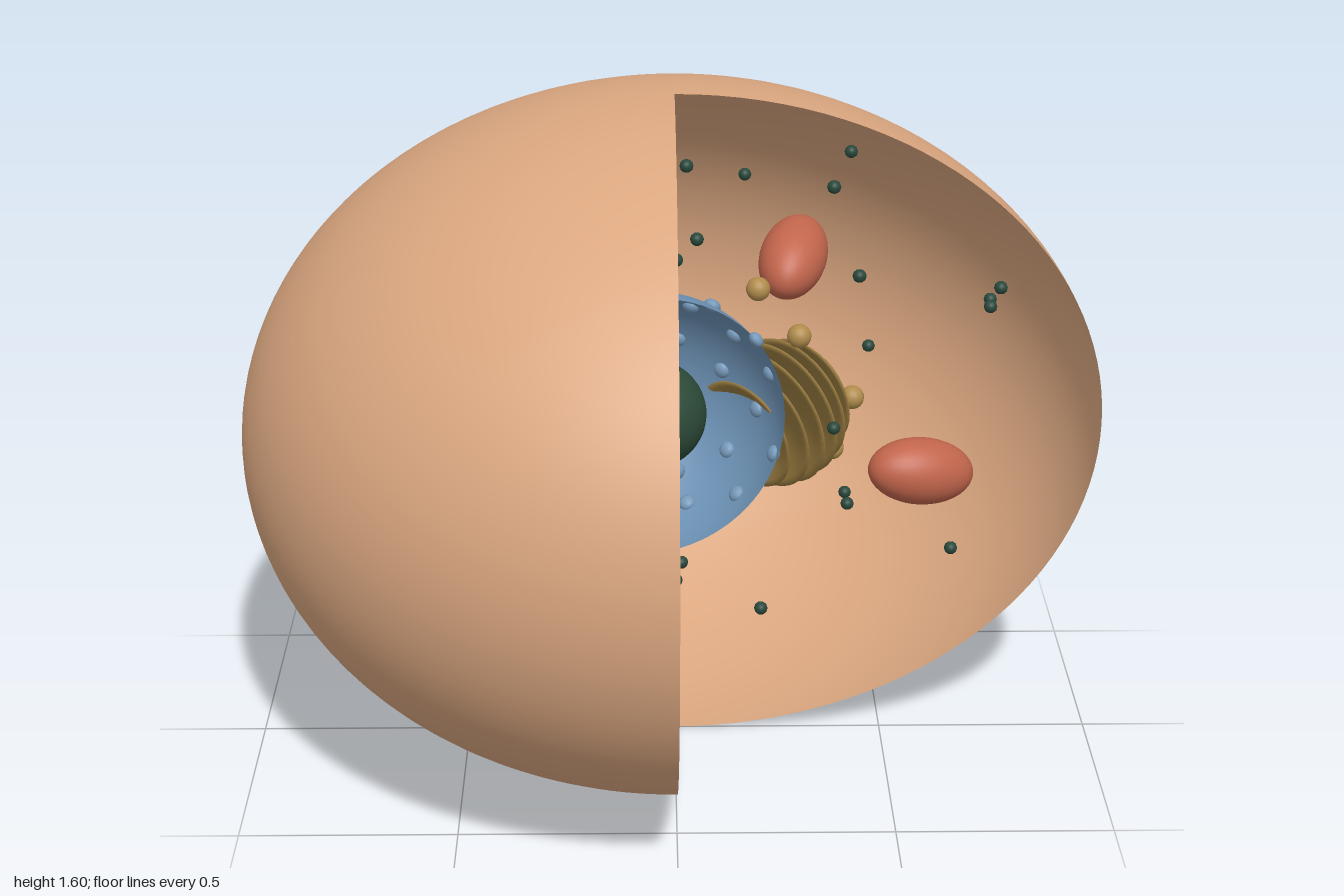
import * as THREE from 'three';
import { ParametricGeometry } from 'three/addons/geometries/ParametricGeometry.js';

const V = (x, y, z) => new THREE.Vector3(x, y, z);
const UP = V(0, 1, 0);

function material(name, color, side = THREE.FrontSide) {
  const m = new THREE.MeshStandardMaterial({ color, side });
  m.name = name;
  return m;
}

function seeded(seed) {
  return () => {
    seed = (seed * 16807) % 2147483647;
    return seed / 2147483647;
  };
}

export function createModel() {
  const root = new THREE.Group();
  root.name = 'cutawayCell';
  const mats = {
    membrane: material('membraneTan', 0xdba780, THREE.DoubleSide),
    nucleus: material('nucleusBlue', 0x6c91b4, THREE.DoubleSide),
    pore: material('poreBlue', 0x7598ba),
    darkGreen: material('nucleolusGreen', 0x2c4a38),
    ribosome: material('ribosomeGreen', 0x29483c),
    red: material('mitochondrionRed', 0xc2654c),
    gold: material('golgiGold', 0x9a7c40),
    vesicle: material('vesicleGold', 0xb08c4c),
    green: material('reticulumGreen', 0xa6ba90, THREE.DoubleSide),
  };
  const group = (name) => {
    const g = new THREE.Group();
    g.name = name;
    root.add(g);
    return g;
  };
  const add = (parent, name, geo, mat, pos) => {
    const m = new THREE.Mesh(geo, mat);
    m.name = name;
    m.position.copy(pos);
    parent.add(m);
    return m;
  };

  // Outer membrane: flattened sphere with the front left quarter removed
  const shell = add(root, 'membrane',
    new THREE.SphereGeometry(1, 96, 64, Math.PI, Math.PI * 1.5), mats.membrane, V(0, 0.8, 0));
  shell.scale.y = 0.8;

  // Nucleus: hollow sphere with its own slightly turned cutaway
  const centre = V(-0.055, 0.77, -0.05);
  const R = 0.325;
  const cutStart = THREE.MathUtils.degToRad(-11);
  add(root, 'nucleus',
    new THREE.SphereGeometry(R, 64, 40, Math.PI - cutStart, Math.PI * 1.5), mats.nucleus, centre);
  add(root, 'nucleolus', new THREE.SphereGeometry(0.128, 36, 24), mats.darkGreen, V(-0.052, 0.81, -0.047));

  // Pores spread evenly over the remaining nucleus wall
  const pores = group('nuclearPores');
  const poreGeo = new THREE.SphereGeometry(0.021, 12, 8);
  const count = 72;
  for (let i = 0; i < count; i++) {
    const y = 1 - (2 * (i + 0.5)) / count;
    const a = i * Math.PI * (3 - Math.sqrt(5));
    const r = Math.sqrt(1 - y * y);
    const dir = V(Math.cos(a) * r, y, Math.sin(a) * r);
    const fromCut = THREE.MathUtils.euclideanModulo(a - cutStart, Math.PI * 2);
    if (fromCut < Math.PI / 2) continue;
    const pore = add(pores, 'pore', poreGeo, mats.pore, dir.clone().multiplyScalar(R).add(centre));
    pore.quaternion.setFromUnitVectors(UP, dir);
    pore.scale.y = 0.7;
  }

  // Mitochondria: position and long axis
  const mitos = group('mitochondria');
  const mitoGeo = new THREE.SphereGeometry(1, 32, 20);
  [
    [V(0.305, 1.005, -0.6), V(0.25, 0.3, -0.9)],
    [V(0.615, 0.54, -0.32), V(1, -0.2, -0.35)],
    [V(-0.2, 0.94, 0.63), V(-0.35, 0.35, 0.9)],
    [V(-0.58, 0.505, 0.375), V(0.9, 0.25, 0.3)],
    [V(-0.36, 1.305, 0.03), V(0.25, 0, 1)],
  ].forEach(([pos, axis]) => {
    const m = add(mitos, 'mitochondrion', mitoGeo, mats.red, pos);
    m.scale.set(0.084, 0.14, 0.084);
    m.quaternion.setFromUnitVectors(UP, axis.normalize());
  });

  // Golgi stack: nested shallow bowls opening towards the nucleus
  const golgi = group('golgiStack');
  const axis = V(0.68, 0.22, -0.68).normalize();
  const golgiCentre = V(0.28, 0.69, -0.39);
  for (let i = 0; i < 6; i++) {
    const t = i - 2.5;
    const r = 0.185 - 0.006 * t * t;
    const outer = [], inner = [];
    for (let k = 0; k <= 10; k++) {
      const s = k / 10;
      outer.push(new THREE.Vector2(r * s, 0.07 * s * s));
      inner.unshift(new THREE.Vector2(r * s, 0.07 * s * s + 0.026 * Math.sqrt(1 - s * s)));
    }
    const disc = add(golgi, 'golgiDisc', new THREE.LatheGeometry([...outer, ...inner.slice(1)], 40),
      mats.gold, golgiCentre.clone().addScaledVector(axis, t * 0.045 + 0.03));
    disc.quaternion.setFromUnitVectors(UP, axis.clone().negate());
  }

  // Vesicles around the stack
  const vesicles = group('vesicles');
  const vesicleGeo = new THREE.SphereGeometry(0.03, 18, 12);
  [[0.21, 0.985, -0.42], [0.31, 0.88, -0.37], [0.45, 0.685, -0.45], [0.41, 0.505, -0.55], [0.215, 0.505, -0.5]]
    .forEach((p) => add(vesicles, 'vesicle', vesicleGeo, mats.vesicle, V(...p)));

  // Reticulum: wavy upright sheets curved around the nucleus
  const reticulum = group('reticulum');
  const ribosomes = group('ribosomes');
  const riboGeo = new THREE.IcosahedronGeometry(0.0165, 1);
  const rand = seeded(77);
  const sheets = [
    { r: 0.39, h: 0.21, y: 0.8, from: 98, to: 232, phase: 0 },
    { r: 0.475, h: 0.15, y: 0.8, from: 97, to: 205, phase: 1.6 },
    { r: 0.56, h: 0.155, y: 0.82, from: 101, to: 190, phase: 3.1 },
  ];
  sheets.forEach(({ r, h, y, from, to, phase }) => {
    const point = (s, up, out, target) => {
      const a = THREE.MathUtils.degToRad(from + (to - from) * s);
      const wave = 0.022 * Math.sin(a * 9 + phase + up * 1.2);
      const rad = r + wave + out;
      return target.set(centre.x + Math.cos(a) * rad,
        y + up * h + 0.02 * Math.sin(a * 5 + phase), centre.z + Math.sin(a) * rad);
    };
    // Lens section swept along the arc, closed to the middle at both ends
    const geo = new ParametricGeometry((u, v, target) => {
      const size = Math.min(1, v * 50, (1 - v) * 50);
      const b = u * Math.PI * 2;
      point(v, Math.cos(b) * size, Math.sin(b) * 0.022 * size, target);
    }, 28, 100);
    geo.computeVertexNormals();
    add(reticulum, 'reticulumSheet', geo, mats.green, V(0, 0, 0));
    // Ribosomes attached to both faces
    for (let i = 0; i < 16; i++) {
      const p = point(rand() * 0.9 + 0.03, rand() * 1.4 - 0.7, i % 2 ? 0.027 : -0.027, V(0, 0, 0));
      add(ribosomes, 'attachedRibosome', riboGeo, mats.ribosome, p);
    }
  });

  // Free ribosomes
  [
    [0.03, 1.37, -0.2], [0.37, 1.34, -0.13], [0.44, 1.295, -0.55], [0.055, 1.19, -0.2],
    [0.185, 1.19, -0.7], [0.43, 1.14, -0.08], [0.005, 1.17, -0.11], [0.78, 1.055, -0.23],
    [0.76, 1.0, -0.25], [0.785, 0.945, -0.45], [0.5, 0.765, -0.6], [0.39, 0.69, -0.24],
    [0.43, 0.475, -0.27], [0.445, 0.38, -0.55], [0.68, 0.395, -0.18], [0.21, 0.295, -0.055],
    [0.02, 0.34, -0.22], [0.005, 0.34, -0.12], [-0.4, 1.185, 0.665], [-0.3, 0.81, 0.82],
    [-0.4, 0.66, 0.765], [-0.29, 0.31, 0.06], [-0.077, 0.26, 0.18], [-0.08, 0.185, 0.29],
    [-0.217, 0.495, 0.275], [-0.3, 1.01, 0.335], [-0.31, 0.61, 0.31],
  ].forEach((p) => add(ribosomes, 'freeRibosome', riboGeo, mats.ribosome, V(...p)));

  return root;
}
